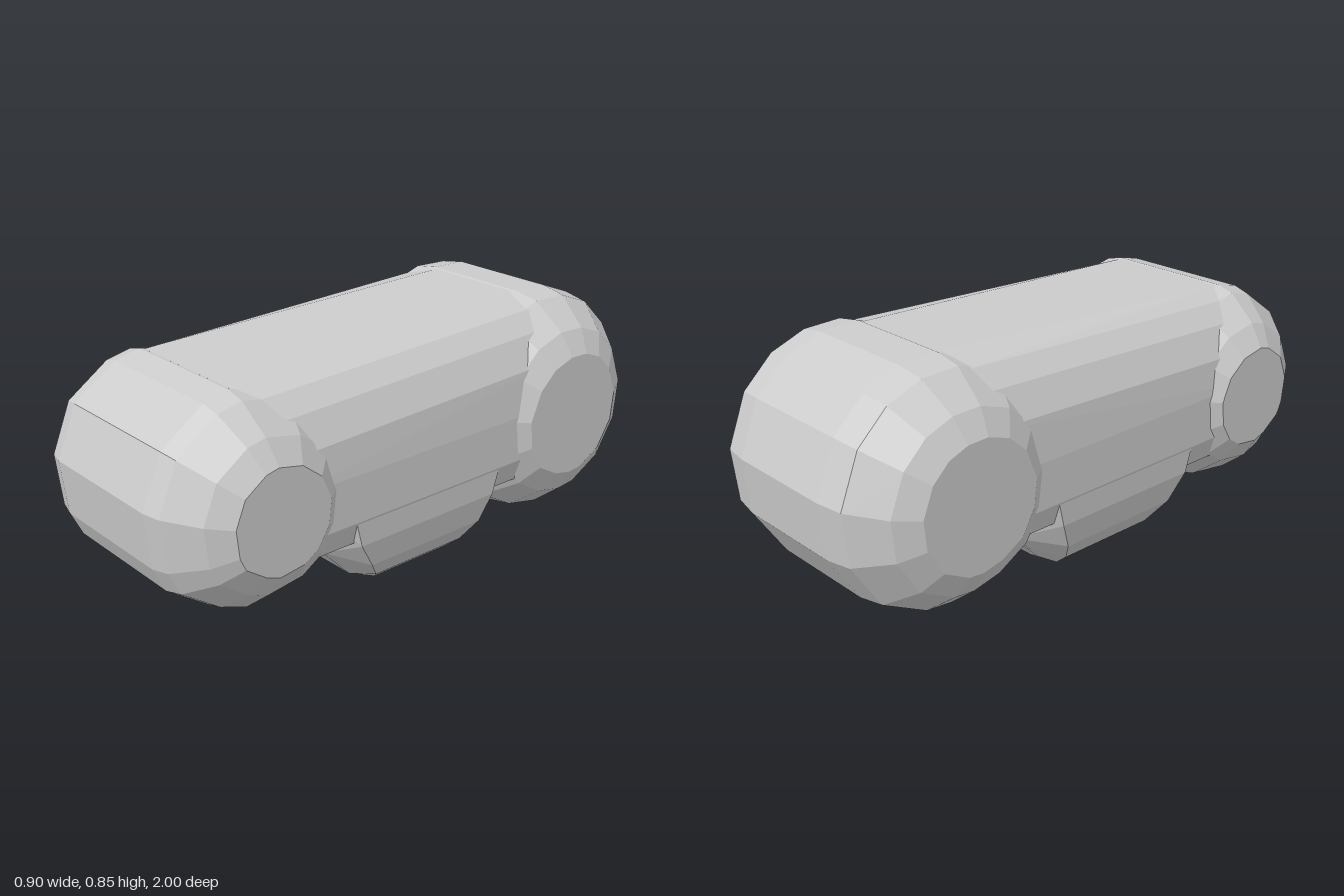
import * as THREE from 'three';
import { ConvexGeometry } from 'three/addons/geometries/ConvexGeometry.js';

const material = new THREE.MeshStandardMaterial({ color: 0xcccccc, flatShading: true });

// Faceted convex solid, mirrored across x = 0
function hull(name, points) {
  const all = [];
  for (const [x, y, z] of points) {
    all.push(new THREE.Vector3(x, y, z), new THREE.Vector3(-x, y, z));
  }
  const mesh = new THREE.Mesh(new ConvexGeometry(all), material);
  mesh.name = name;
  return mesh;
}

// Rounded drum lying across x: a [z, y] outline shrunk towards its centre at each [x, scale] step
function drum(name, outline, cz, cy, steps) {
  const points = [];
  for (const [x, s] of steps) {
    for (const [z, y] of outline) points.push([x, cy + (y - cy) * s, cz + (z - cz) * s]);
  }
  return hull(name, points);
}

export function createModel() {
  const group = new THREE.Group();
  group.name = 'blockyBody';

  // Smaller front drum
  const front = [
    [0.69, 0.805], [0.78, 0.785], [0.93, 0.68], [1, 0.51], [0.98, 0.325], [0.94, 0.24],
    [0.8, 0.142], [0.7, 0.105], [0.52, 0.13], [0.41, 0.2], [0.33, 0.33], [0.31, 0.5],
    [0.38, 0.66], [0.52, 0.77],
  ];
  group.add(drum('frontDrum', front, 0.66, 0.45, [[0.24, 1], [0.3, 0.955], [0.4, 0.72], [0.45, 0.5]]));

  // Larger rear drum
  const rear = [
    [-0.55, 0.85], [-0.69, 0.845], [-0.82, 0.795], [-0.93, 0.69], [-1, 0.51], [-0.98, 0.32],
    [-0.87, 0.15], [-0.7, 0.06], [-0.6, 0.05], [-0.46, 0.08], [-0.31, 0.165], [-0.22, 0.32],
    [-0.2, 0.5], [-0.28, 0.69], [-0.4, 0.8],
  ];
  group.add(drum('rearDrum', rear, -0.6, 0.45, [[0.2, 1], [0.295, 0.96], [0.405, 0.74], [0.45, 0.54]]));

  // Trunk joining the drums, its back rising slightly towards the rear
  const trunk = [];
  for (const [z, top, flat] of [[0.68, 0.803, 0.23], [-0.55, 0.847, 0.185]]) {
    trunk.push(
      [flat, top, z], [0.3, top - 0.03, z], [0.36, top - 0.09, z], [0.41, top - 0.19, z],
      [0.425, 0.5, z], [0.425, 0.34, z], [0.4, 0.26, z], [0.3, 0.2, z],
    );
  }
  group.add(hull('trunk', trunk));

  // Belly hanging between the drums: layers of [half width, y, front z, back z]
  const belly = [
    [0.17, 0.003, 0.08, -0.11], [0.18, 0.02, 0.19, -0.16], [0.285, 0.027, 0.17, -0.14],
    [0.26, 0.06, 0.26, -0.2], [0.35, 0.08, 0.22, -0.16], [0.3, 0.13, 0.32, -0.27],
    [0.4, 0.155, 0.28, -0.2], [0.3, 0.2, 0.4, -0.35], [0.42, 0.25, 0.34, -0.24],
    [0.425, 0.4, 0.38, -0.28], [0.3, 0.45, 0.5, -0.42],
  ].flatMap(([x, y, z0, z1]) => [[x, y, z0], [x, y, z1]]);
  group.add(hull('belly', belly));

  return group;
}
